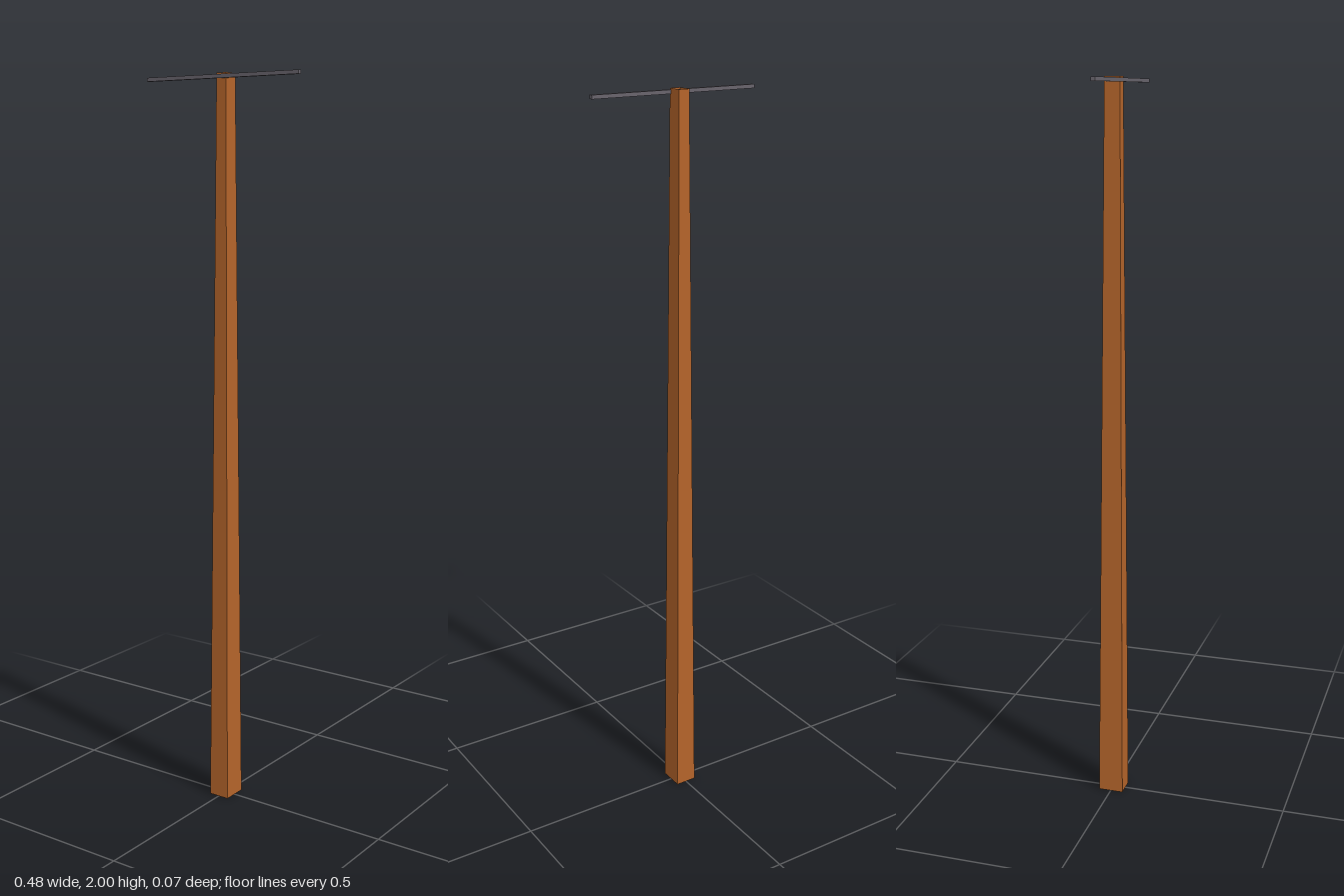
import * as THREE from 'three';

const wood = new THREE.MeshStandardMaterial({ color: 0xb4642a, flatShading: true, side: THREE.DoubleSide });
wood.name = 'brown wood';
const metal = new THREE.MeshStandardMaterial({ color: 0x68646c, flatShading: true });
metal.name = 'grey metal';

const HEIGHT = 2;
const BASE = { x: 0.03, z: 0.035 }; // half widths at the foot
const TIP = { x: 0.015, z: 0.021 }; // half widths at the top

// Open four-sided tube, tapering separately in x and z
function taperedPole() {
  const geo = new THREE.CylinderGeometry(1, 1, HEIGHT, 4, 1, true);
  geo.rotateY(Math.PI / 4);
  geo.translate(0, HEIGHT / 2, 0);
  const p = geo.attributes.position;
  for (let i = 0; i < p.count; i++) {
    const t = p.getY(i) / HEIGHT;
    p.setX(i, Math.sign(p.getX(i)) * THREE.MathUtils.lerp(BASE.x, TIP.x, t));
    p.setZ(i, Math.sign(p.getZ(i)) * THREE.MathUtils.lerp(BASE.z, TIP.z, t));
  }
  geo.computeVertexNormals();
  return geo;
}

export function createModel() {
  const group = new THREE.Group();
  group.name = 'utilityPole';

  const pole = new THREE.Mesh(taperedPole(), wood);
  pole.name = 'pole';

  // Thin bar across the front of the pole, just below its top
  const bar = new THREE.Mesh(new THREE.BoxGeometry(0.48, 0.01, 0.011), metal);
  bar.name = 'crossbar';
  bar.position.set(0, 1.991, 0.0215);

  group.add(pole, bar);
  return group;
}
